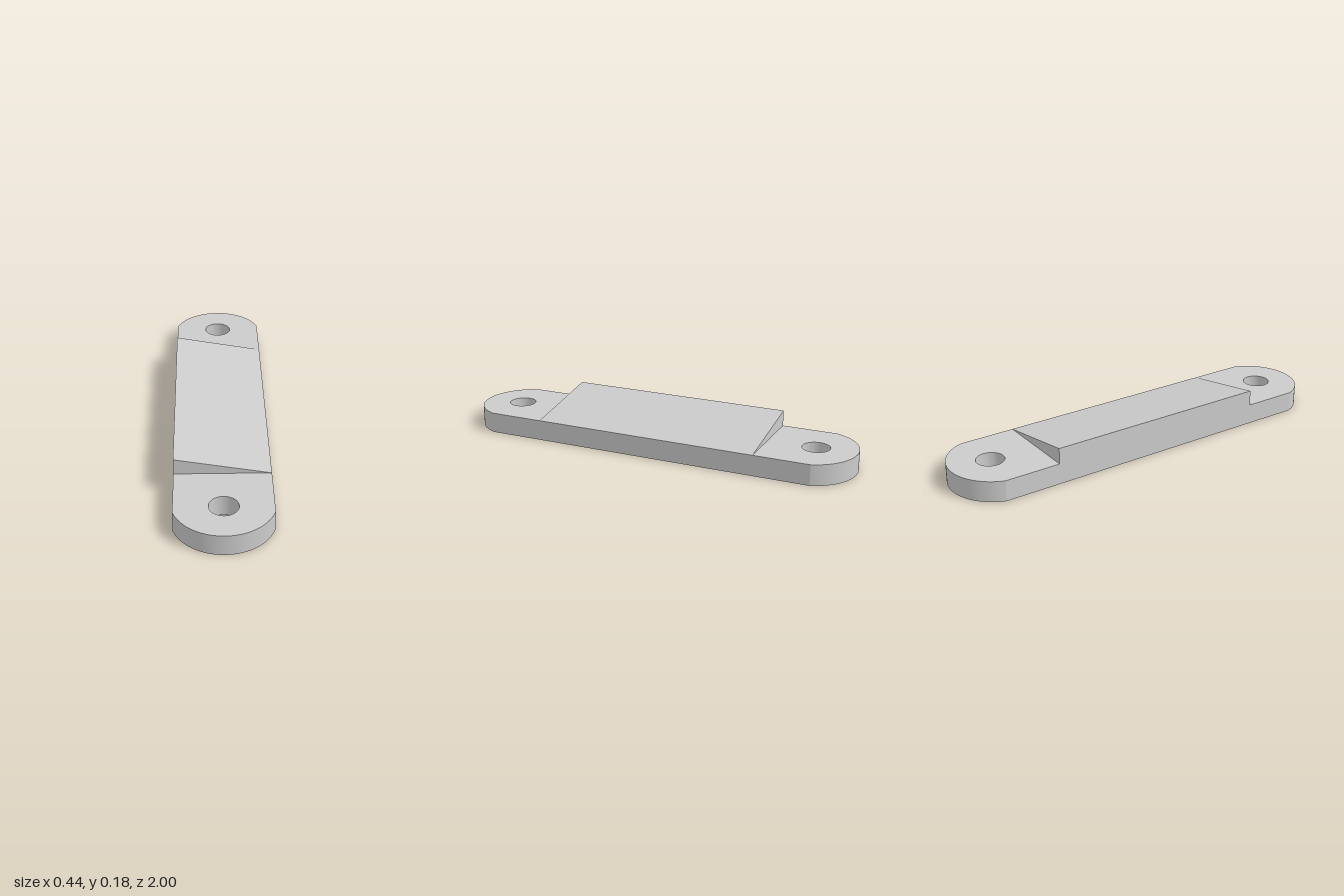
import * as THREE from 'three';
import { toCreasedNormals } from 'three/addons/utils/BufferGeometryUtils.js';

const HALF_WIDTH = 0.222, BASE_HEIGHT = 0.102, TOP = 0.18;
const END_RADIUS = 0.234, END_CENTRE = 1 - END_RADIUS;
const HOLE_RADIUS = 0.067, HOLE_Z = 0.8;
const WEDGE_LENGTH = 1.13;

export function createModel() {
  const group = new THREE.Group();
  const material = new THREE.MeshStandardMaterial({ color: 0xcccccc });

  // Flat bar with shallow arced ends and a screw hole near each end
  const outline = new THREE.Shape();
  const a = Math.acos(HALF_WIDTH / END_RADIUS);
  outline.absarc(0, END_CENTRE, END_RADIUS, a, Math.PI - a, false);
  outline.absarc(0, -END_CENTRE, END_RADIUS, Math.PI + a, 2 * Math.PI - a, false);
  outline.closePath();
  for (const side of [1, -1]) {
    const hole = new THREE.Path();
    hole.absarc(0, side * HOLE_Z, HOLE_RADIUS, 0, Math.PI * 2, true);
    outline.holes.push(hole);
  }
  const barGeometry = new THREE.ExtrudeGeometry(outline, {
    depth: BASE_HEIGHT, bevelEnabled: false, curveSegments: 20,
  });
  barGeometry.rotateX(-Math.PI / 2);
  const bar = new THREE.Mesh(toCreasedNormals(barGeometry, 0.3), material);
  bar.name = 'baseBar';
  group.add(bar);

  // Sloped pad, tall on the right edge and tapering to nothing on the left
  const profile = new THREE.Shape([
    new THREE.Vector2(-HALF_WIDTH, BASE_HEIGHT),
    new THREE.Vector2(HALF_WIDTH, BASE_HEIGHT),
    new THREE.Vector2(-HALF_WIDTH, TOP),
  ]);
  const wedgeGeometry = new THREE.ExtrudeGeometry(profile, {
    depth: WEDGE_LENGTH, bevelEnabled: false,
  });
  wedgeGeometry.translate(0, 0, -WEDGE_LENGTH / 2);
  const wedge = new THREE.Mesh(wedgeGeometry, material);
  wedge.name = 'slopedPad';
  group.add(wedge);

  return group;
}
